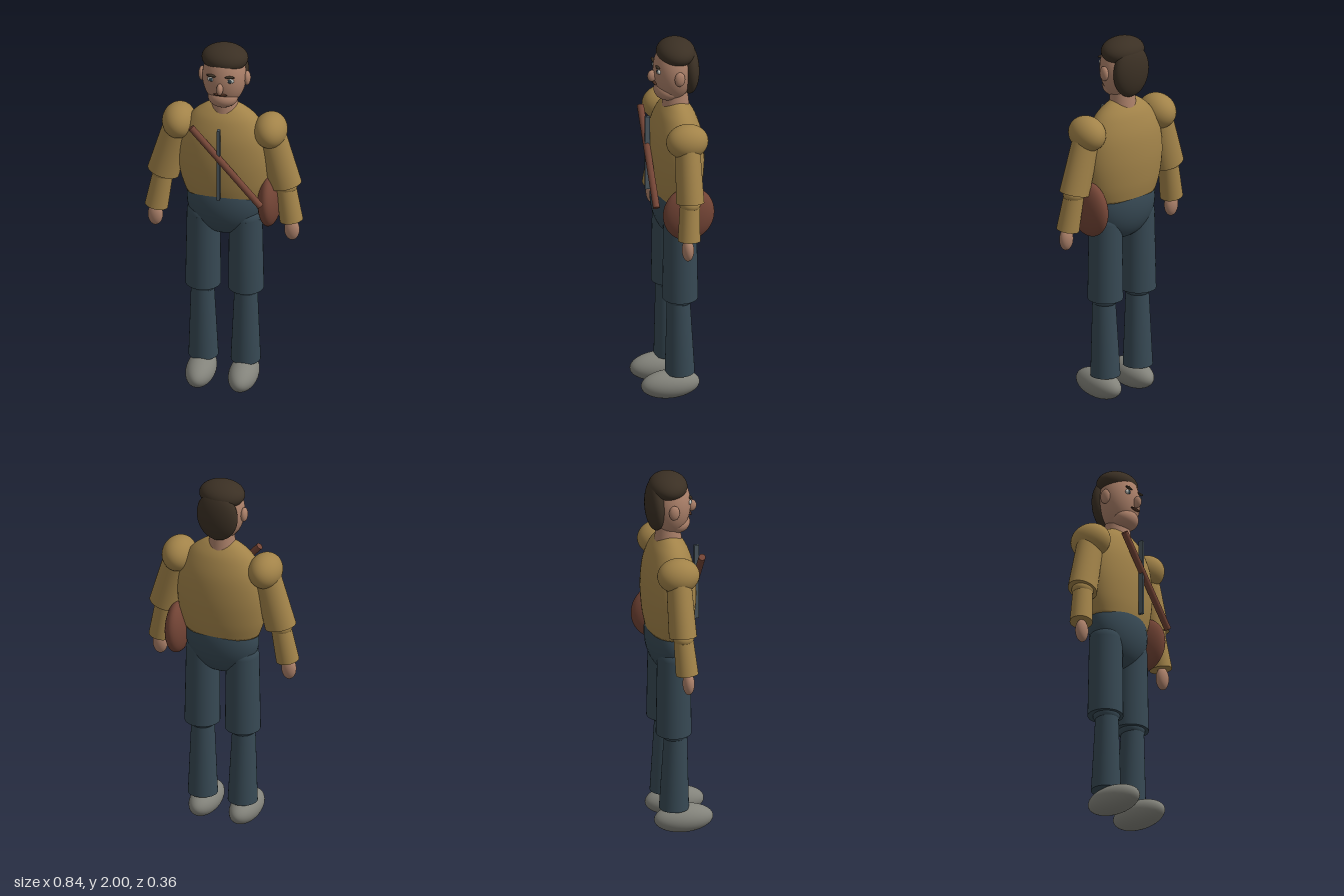
import * as THREE from 'three';

const paint = (name, color) => {
  const m = new THREE.MeshStandardMaterial({ color });
  m.name = name;
  return m;
};

export function createModel() {
  const model = new THREE.Group();
  model.name = 'walker';
  const skin = paint('skin', 0xab8069);
  const hair = paint('dark hair', 0x3b3024);
  const jacket = paint('tan jacket', 0xa28349);
  const denim = paint('blue trousers', 0x374954);
  const shoe = paint('grey shoes', 0x83837b);
  const leather = paint('brown leather', 0x744536);
  const metal = paint('zip metal', 0x4d5961);
  const white = paint('eye white', 0xb9bab4);
  const iris = paint('iris', 0x2e4048);
  const lip = paint('moustache brown', 0x4d3123);

  const add = (name, geo, mat, pos, parent = model) => {
    const mesh = new THREE.Mesh(geo, mat);
    mesh.name = name;
    mesh.position.set(...pos);
    parent.add(mesh);
    return mesh;
  };
  // ellipsoid with three radii
  const ball = (name, mat, pos, radii, parent) =>
    add(name, new THREE.SphereGeometry(1, 36, 24).scale(...radii), mat, pos, parent);
  // tapered tube from a to b, depth squashed by zs
  const limb = (name, mat, a, b, ra, rb, zs = 1, parent = model) => {
    const p = new THREE.Vector3(...a), q = new THREE.Vector3(...b);
    const dir = q.clone().sub(p);
    const geo = new THREE.CylinderGeometry(rb, ra, dir.length(), 32).scale(1, 1, zs);
    const mesh = add(name, geo, mat, p.clone().add(q).multiplyScalar(0.5).toArray(), parent);
    mesh.quaternion.setFromUnitVectors(new THREE.Vector3(0, 1, 0), dir.normalize());
    return mesh;
  };

  // jacket body: egg-shaped lathe, flattened front to back
  const profile = new THREE.SplineCurve([
    [0.203, 1.13], [0.232, 1.22], [0.246, 1.35], [0.228, 1.48],
    [0.175, 1.58], [0.115, 1.635], [0.06, 1.665],
  ].map(([r, y]) => new THREE.Vector2(r, y))).getPoints(28);
  profile.unshift(new THREE.Vector2(0, 1.13));
  profile.push(new THREE.Vector2(0, 1.668));
  add('jacketBody', new THREE.LatheGeometry(profile, 48).scale(1, 1, 0.57), jacket, [0, 0, -0.033]);
  ball('pelvis', denim, [0, 1.09, -0.03], [0.2, 0.2, 0.125]);
  limb('neck', skin, [0, 1.62, -0.033], [0, 1.74, -0.033], 0.072, 0.06);

  // head
  const head = new THREE.Group();
  head.name = 'head';
  model.add(head);
  ball('skull', skin, [0, 1.83, -0.02], [0.115, 0.163, 0.105], head);
  ball('jaw', skin, [0, 1.724, 0.012], [0.08, 0.058, 0.07], head);
  ball('hairCap', hair, [0, 1.93, -0.034], [0.122, 0.07, 0.101], head);
  ball('hairBack', hair, [0, 1.83, -0.1], [0.113, 0.14, 0.054], head);
  ball('nose', skin, [0, 1.806, 0.093], [0.017, 0.032, 0.025], head);
  ball('moustache', lip, [0, 1.768, 0.081], [0.036, 0.007, 0.009], head);
  for (const s of [1, -1]) {
    const side = s > 0 ? 'left' : 'right';
    ball(side + 'Ear', skin, [s * 0.12, 1.825, -0.025], [0.018, 0.04, 0.028], head);
    ball(side + 'Eye', white, [s * 0.05, 1.85, 0.07], [0.021, 0.013, 0.01], head);
    ball(side + 'Iris', iris, [s * 0.05, 1.85, 0.077], [0.01, 0.011, 0.006], head);
    const brow = ball(side + 'Brow', hair, [s * 0.048, 1.874, 0.075], [0.027, 0.007, 0.009], head);
    brow.rotation.z = s * 0.08;
  }

  // arms and legs
  for (const s of [1, -1]) {
    const side = s > 0 ? 'left' : 'right';
    const arm = new THREE.Group();
    arm.name = side + 'Arm';
    const leg = new THREE.Group();
    leg.name = side + 'Leg';
    model.add(arm, leg);

    ball('shoulder', jacket, [s * 0.243, 1.525, -0.031], [0.087, 0.093, 0.111], arm);
    limb('upperSleeve', jacket, [s * 0.325, 1.212, -0.025], [s * 0.243, 1.52, -0.031], 0.085, 0.075, 0.85, arm);
    ball('elbow', jacket, [s * 0.326, 1.21, -0.023], [0.06, 0.045, 0.056], arm);
    limb('foreSleeve', jacket, [s * 0.358, 1.012, -0.01], [s * 0.325, 1.21, -0.023], 0.061, 0.053, 0.96, arm);
    ball('hand', skin, [s * 0.362, 0.96, -0.003], [0.04, 0.062, 0.031], arm);

    ball('hip', denim, [s * 0.112, 1.0, -0.027], [0.087, 0.087, 0.087], leg);
    limb('thigh', denim, [s * 0.114, 0.573, -0.028], [s * 0.112, 1.0, -0.027], 0.093, 0.087, 1, leg);
    ball('knee', denim, [s * 0.114, 0.572, -0.022], [0.07, 0.05, 0.07], leg);
    limb('shin', denim, [s * 0.112, 0.145, -0.026], [s * 0.115, 0.57, -0.018], 0.078, 0.06, 1, leg);
    ball('shoe', shoe, [s * 0.113, 0.08, 0.025], [0.077, 0.076, 0.156], leg);
  }

  // zip, strap and bag
  add('zip', new THREE.BoxGeometry(0.015, 0.415, 0.026), metal, [0, 1.368, 0.118]);
  limb('strap', leather, [0.224, 1.155, 0.129], [-0.147, 1.573, 0.116], 0.018, 0.018);
  ball('bag', leather, [0.238, 1.108, -0.04], [0.06, 0.15, 0.137]);
  return model;
}
